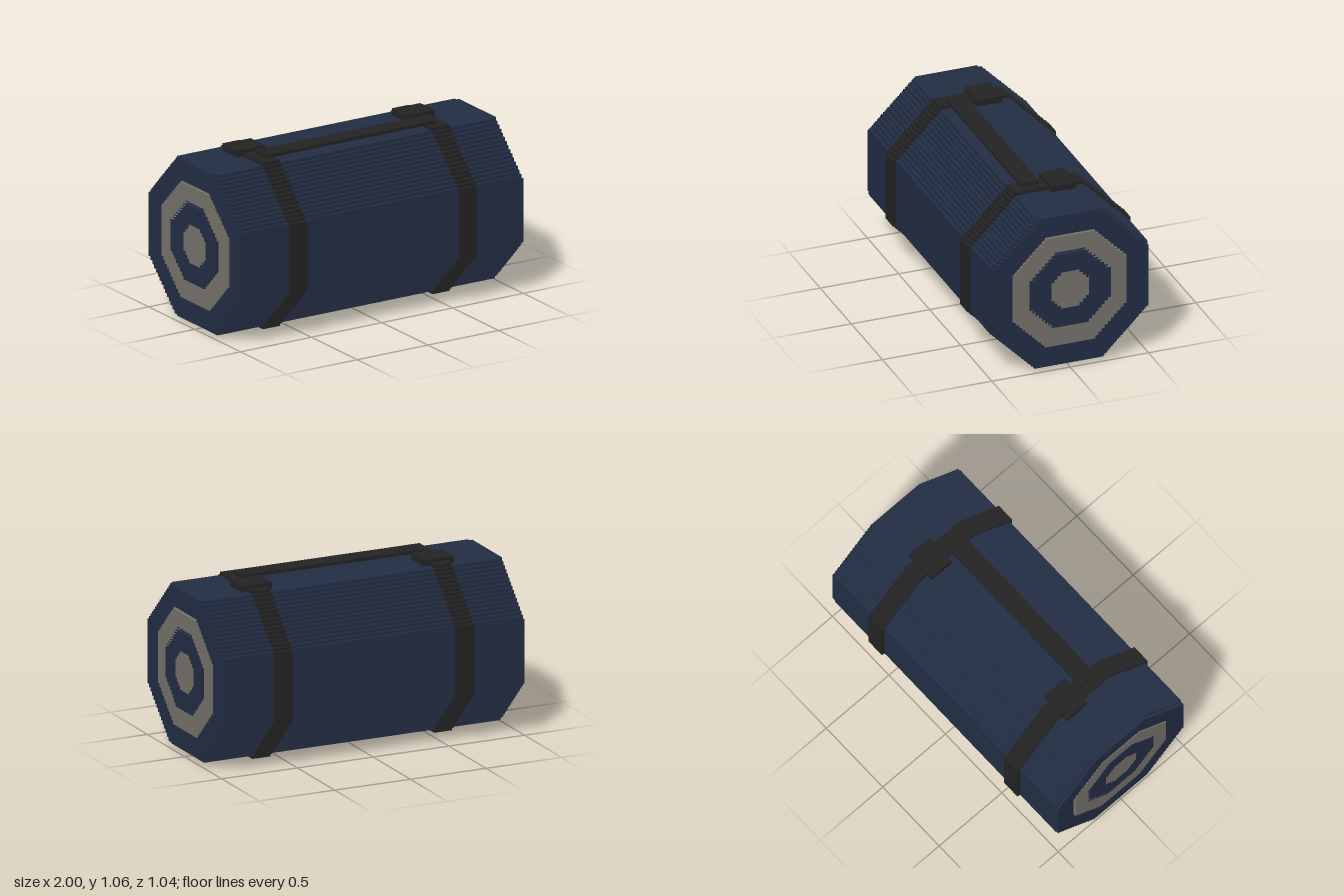
import * as THREE from 'three';

const STEP = 0.02;
const CY = 0.52; // height of the roll's axis

const mat = (name, color) => {
  const m = new THREE.MeshStandardMaterial({ color });
  m.name = name;
  return m;
};

// Stepped octagon: half is the half width, flat the half length of each straight side
function octagon(half, flat, bottom = -half) {
  const n = Math.round((half - flat) / STEP);
  const quarter = [];
  for (let i = 0; i <= n; i++) {
    const x = flat + i * STEP, y = half - i * STEP;
    if (i > 0) quarter.push([x - STEP, y]);
    quarter.push([x, y]);
  }
  const right = [...quarter, ...quarter.map(([x, y]) => [x, -y]).reverse()];
  const all = [...right, ...right.map(([x, y]) => [-x, y]).reverse()];
  return all.map(([x, y]) => new THREE.Vector2(x, Math.max(y, bottom)))
    .filter((p, i, a) => i === 0 || !p.equals(a[i - 1]));
}

const rect = (x0, x1, y0, y1) => [[x0, y0], [x1, y0], [x1, y1], [x0, y1]]
  .map(([x, y]) => new THREE.Vector2(x, y));

// Extrudes a cross-section along x, from x0 to x1
function slab(name, material, outline, holes, x0, x1) {
  const shape = new THREE.Shape(outline);
  holes.forEach((h) => shape.holes.push(new THREE.Path(h)));
  const geo = new THREE.ExtrudeGeometry(shape, { depth: x1 - x0, bevelEnabled: false });
  geo.rotateY(Math.PI / 2);
  geo.translate(x0, CY, 0);
  const mesh = new THREE.Mesh(geo, material);
  mesh.name = name;
  return mesh;
}

function box(name, material, x0, x1, y0, y1, z0, z1) {
  const mesh = new THREE.Mesh(new THREE.BoxGeometry(x1 - x0, y1 - y0, z1 - z0), material);
  mesh.position.set((x0 + x1) / 2, (y0 + y1) / 2, (z0 + z1) / 2);
  mesh.name = name;
  return mesh;
}

export function createModel() {
  const group = new THREE.Group();
  group.name = 'bedroll';
  const blue = mat('navy fabric', 0x222d44);
  const grey = mat('grey lining', 0x75716a);
  const black = mat('black strap', 0x232323);

  // Rolled body with a narrow slit running right through
  const slit = rect(-0.1, 0.1, 0.24, 0.26);
  group.add(slab('rollBody', blue, octagon(0.5, 0.22), [slit], -0.98, 0.98));

  for (const side of [-1, 1]) {
    const label = side > 0 ? 'left' : 'right';
    const [e0, e1] = side > 0 ? [0.98, 1] : [-1, -0.98];

    // Rolled layers at the end, parted by shallow grooves
    group.add(
      slab(label + 'OuterLayer', blue, octagon(0.5, 0.2, -0.48), [octagon(0.38, 0.16)], e0, e1),
      slab(label + 'LiningRing', grey, octagon(0.36, 0.16), [octagon(0.26, 0.1)], e0, e1),
      box(label + 'LiningFold', grey, e0, e1, 0.26, 0.28, -0.1, 0.1),
      slab(label + 'InnerLayer', blue, octagon(0.24, 0.1), [octagon(0.12, 0.06)], e0, e1),
      slab(label + 'LiningCore', grey, octagon(0.12, 0.06), [], e0, e1),
    );

    // Strap around the roll, and its buckle
    const x = 0.6 * side;
    group.add(
      slab(label + 'Strap', black, octagon(0.52, 0.22), [octagon(0.5, 0.22)], x - 0.06, x + 0.06),
      box(label + 'Buckle', black, x - 0.1, x + 0.1, 1.02, 1.06, -0.16, 0),
    );
  }

  // Carrying handle between the straps
  group.add(box('handle', black, -0.6, 0.6, 1.04, 1.06, 0.04, 0.16));
  return group;
}
